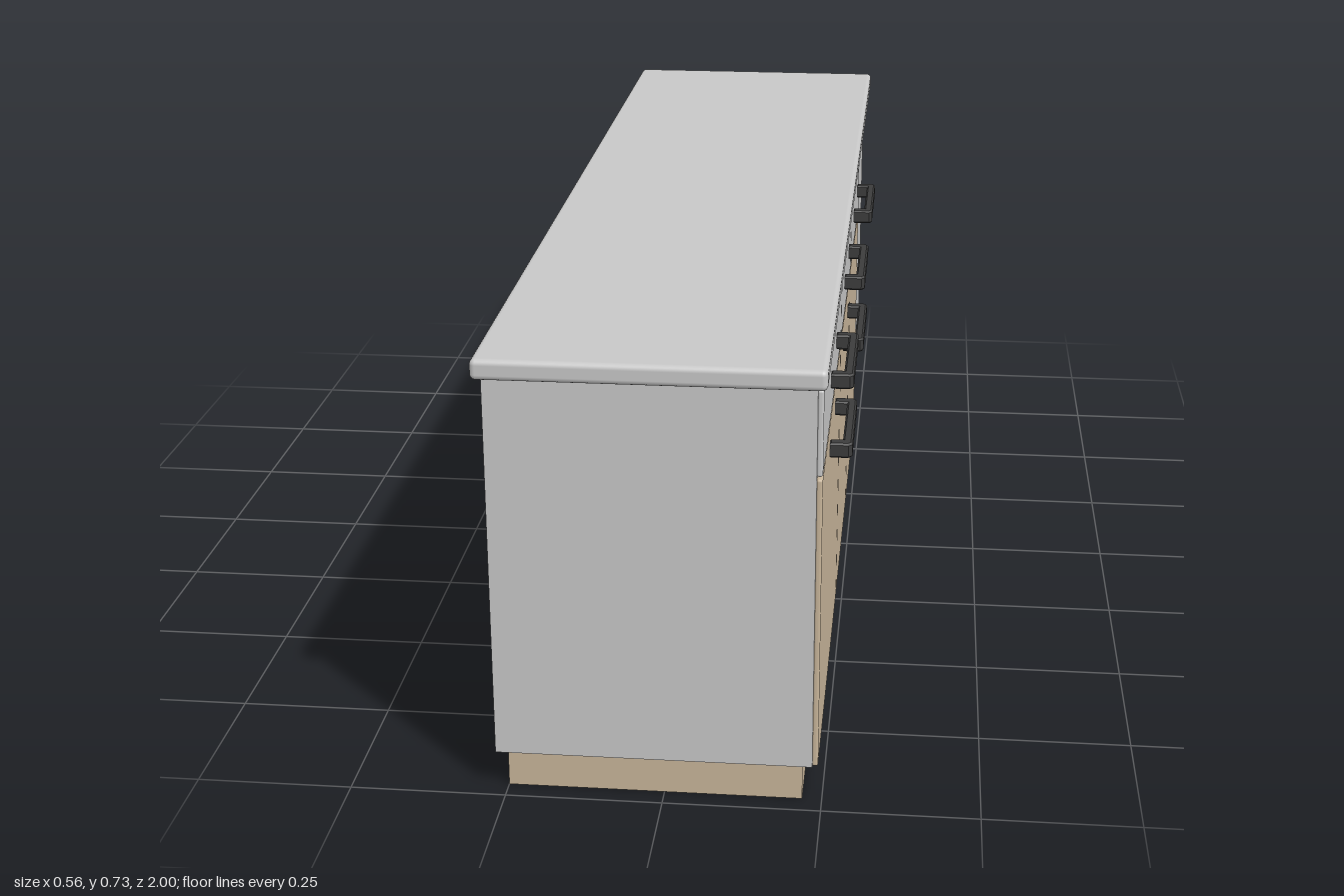
import * as THREE from 'three';
import { RoundedBoxGeometry } from 'three/addons/geometries/RoundedBoxGeometry.js';

const paint = (name, color) => {
  const m = new THREE.MeshStandardMaterial({ color });
  m.name = name;
  return m;
};

export function createModel() {
  const grey = paint('light grey', 0xc8c8c8);
  const wood = paint('pale wood', 0xc8b59a);
  const dark = paint('dark metal', 0x3c3c3c);
  const model = new THREE.Group();
  model.name = 'kitchenCabinet';

  // Box given by its limits; radius rounds the edges
  function box(name, material, [x0, x1], [y0, y1], [z0, z1], radius = 0) {
    const size = [x1 - x0, y1 - y0, z1 - z0];
    const geometry = radius
      ? new RoundedBoxGeometry(...size, 3, radius)
      : new THREE.BoxGeometry(...size);
    const mesh = new THREE.Mesh(geometry, material);
    mesh.name = name;
    mesh.position.set((x0 + x1) / 2, (y0 + y1) / 2, (z0 + z1) / 2);
    model.add(mesh);
  }

  // Body
  box('plinth', wood, [-0.25, 0.219], [0, 0.067], [-0.966, 0.966]);
  box('carcass', grey, [-0.267, 0.235], [0.067, 0.7], [-0.983, 0.983]);
  box('worktop', grey, [-0.281, 0.25], [0.7, 0.733], [-1, 1], 0.009);

  // Bracket handle: a U outline with chamfered outer corners
  const half = 0.103, reach = 0.037, foot = 0.021, bar = 0.016, cut = 0.006;
  const outline = new THREE.Shape([
    [-half, 0], [-half + foot, 0], [-half + foot, reach - bar],
    [half - foot, reach - bar], [half - foot, 0], [half, 0],
    [half, reach - cut], [half - cut, reach],
    [-half + cut, reach], [-half, reach - cut],
  ].map(([u, v]) => new THREE.Vector2(u, v)));
  const bevel = 0.003, height = 0.025;
  const handleGeometry = new THREE.ExtrudeGeometry(outline, {
    depth: height - 2 * bevel, bevelThickness: bevel, bevelSize: bevel,
    bevelOffset: -bevel, bevelSegments: 1,
  });
  handleGeometry.translate(0, 0, bevel - height / 2);
  // Lay the outline flat: length along z, reach along x
  handleGeometry.applyMatrix4(new THREE.Matrix4().makeBasis(
    new THREE.Vector3(0, 0, 1), new THREE.Vector3(1, 0, 0), new THREE.Vector3(0, 1, 0)));

  function handle(name, y, z) {
    const mesh = new THREE.Mesh(handleGeometry, dark);
    mesh.name = name;
    mesh.position.set(0.243, y, z);
    model.add(mesh);
  }

  // Drawer and door columns along the working side
  const columns = [
    { z: [0.365, 0.983], grip: 0.657, doorHandle: true },
    { z: [-0.051, 0.362], grip: 0.154, doorHandle: true },
    { z: [-0.467, -0.054], grip: -0.272, doorHandle: false },
  ];
  columns.forEach(({ z, grip, doorHandle }, i) => {
    box(`drawerFront${i + 1}`, grey, [0.234, 0.244], [0.559, 0.697], z, 0.004);
    box(`door${i + 1}`, wood, [0.234, 0.244], [0.069, 0.555], z, 0.004);
    handle(`drawerHandle${i + 1}`, 0.628, grip);
    if (doorHandle) handle(`doorHandle${i + 1}`, 0.511, grip);
  });

  return model;
}
